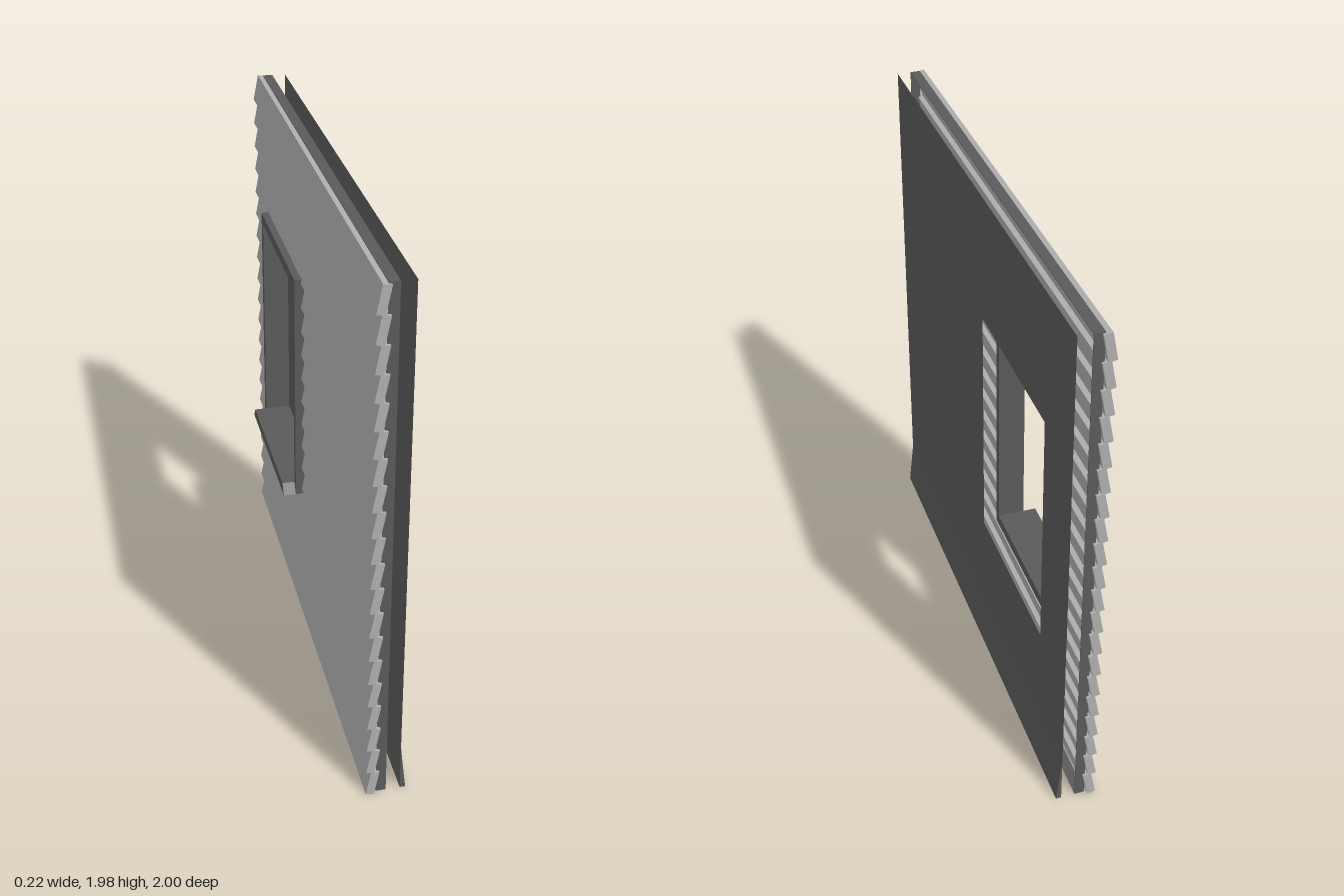
import * as THREE from 'three';

const sidingMaterial = new THREE.MeshStandardMaterial({ color: 0xaeaeae, flatShading: true });
const darkMaterial = new THREE.MeshStandardMaterial({ color: 0x5a5a5a, flatShading: true });
const sheetMaterial = new THREE.MeshStandardMaterial({ color: 0x5a5a5a, flatShading: true, side: THREE.DoubleSide });

// Rectangles as [z0, z1, y0, y1]
const WALL = [-0.99, 0.99, 0.008, 1.98];
const OPENING = [-0.735, -0.083, 0.58, 1.503];
const HOLE = [-0.705, -0.11, 0.621, 1.462];

function tracePath(path, [z0, z1, y0, y1]) {
  path.moveTo(z0, y0);
  path.lineTo(z1, y0);
  path.lineTo(z1, y1);
  path.lineTo(z0, y1);
  path.closePath();
  return path;
}

// Rectangle with a rectangular hole, drawn in z and y
function ringShape(outer, inner) {
  const shape = tracePath(new THREE.Shape(), outer);
  shape.holes.push(tracePath(new THREE.Path(), inner));
  return shape;
}

// Solid made from a z-y outline, reaching from x0 to x1
function slab(name, shape, x0, x1) {
  const geometry = new THREE.ExtrudeGeometry(shape, { depth: x1 - x0, bevelEnabled: false });
  geometry.rotateY(-Math.PI / 2).translate(x1, 0, 0);
  const mesh = new THREE.Mesh(geometry, darkMaterial);
  mesh.name = name;
  return mesh;
}

export function createModel() {
  const model = new THREE.Group();
  model.name = 'wallPanel';

  // Overlapping tilted siding boards, split where the window passes
  const siding = new THREE.Group();
  siding.name = 'siding';
  for (let i = 0; i < 20; i++) {
    const cut = i >= 6 && i <= 14;
    const spans = cut ? [[-1, OPENING[0] + 0.005], [OPENING[1] - 0.005, 1]] : [[-1, 1]];
    for (const [z0, z1] of spans) {
      const board = new THREE.Mesh(new THREE.BoxGeometry(0.03, 0.1, z1 - z0), sidingMaterial);
      board.name = 'sidingBoard';
      board.position.set(-0.014, 0.056 + i * 0.0985, (z0 + z1) / 2);
      board.rotation.z = -0.19;
      siding.add(board);
    }
  }
  model.add(siding);

  // Thin rim around the back of the siding
  const [z0, z1, y0, y1] = WALL;
  const t = 0.003;
  model.add(slab('wallRim', ringShape(WALL, [z0 + t, z1 - t, y0 + t, y1 - t]), 0, 0.037));

  // Window frame, and outer sill with mitred ends
  model.add(slab('windowFrame', ringShape(OPENING, HOLE), -0.062, 0.037));
  const sill = new THREE.Shape();
  sill.moveTo(OPENING[0], OPENING[2]);
  sill.lineTo(OPENING[1], OPENING[2]);
  sill.lineTo(HOLE[1], HOLE[2]);
  sill.lineTo(HOLE[0], HOLE[2]);
  sill.closePath();
  model.add(slab('windowSill', sill, -0.11, -0.062));

  // Inner wall sheet
  const sheetGeometry = new THREE.ShapeGeometry(ringShape(WALL, OPENING));
  sheetGeometry.rotateY(-Math.PI / 2).translate(0.088, 0, 0);
  const sheet = new THREE.Mesh(sheetGeometry, sheetMaterial);
  sheet.name = 'innerSheet';
  model.add(sheet);

  // Wedge-shaped baseboard
  const wedge = new THREE.Shape();
  wedge.moveTo(0.088, y0);
  wedge.lineTo(0.108, y0);
  wedge.lineTo(0.088, 0.19);
  wedge.closePath();
  const wedgeGeometry = new THREE.ExtrudeGeometry(wedge, { depth: z1 - z0, bevelEnabled: false });
  const baseboard = new THREE.Mesh(wedgeGeometry.translate(0, 0, z0), darkMaterial);
  baseboard.name = 'baseboard';
  model.add(baseboard);

  return model;
}
